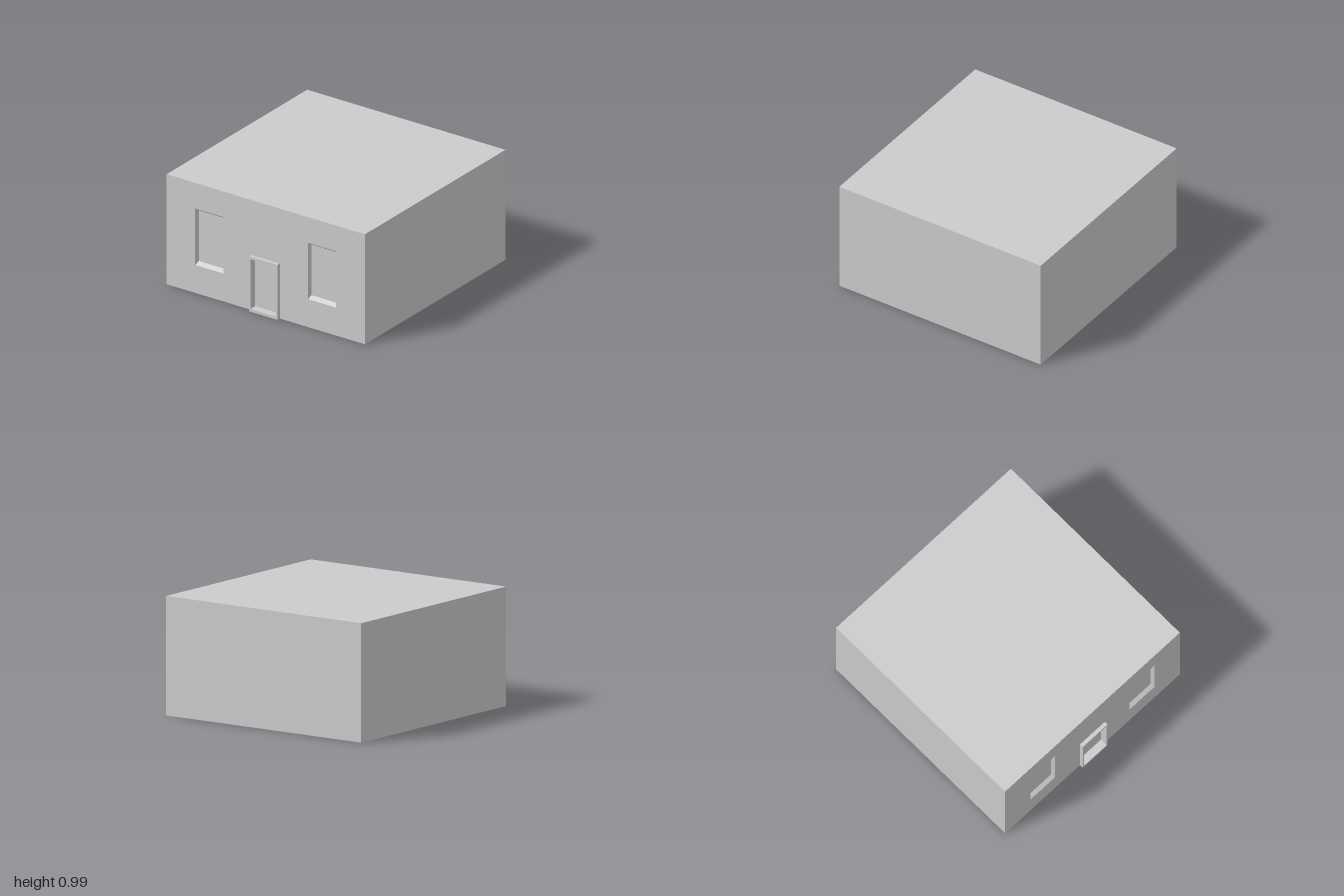
import * as THREE from 'three';

const W = 0.985, H = 0.985, BACK = -1, FRONT = 0.967, DEEP = 0.933, LIP = 1;
const material = new THREE.MeshStandardMaterial({ color: 0xcccccc, flatShading: true });

// corners of a rectangle, counter-clockwise seen from the front
const corners = (x0, x1, y0, y1) => [[x0, y0], [x1, y0], [x1, y1], [x0, y1]];
const path = (pts, Type) => new Type(pts.map(([x, y]) => new THREE.Vector2(x, y)));

function add(group, name, geometry, z = 0) {
  const mesh = new THREE.Mesh(geometry, material);
  mesh.name = name;
  mesh.position.z = z;
  group.add(mesh);
}

// four sloping faces between an outer and an inner rectangle, plus the back pane
function recess(outer, zOuter, inner, zInner) {
  const pos = [];
  const quad = (a, b, c, d) => pos.push(...a, ...b, ...c, ...a, ...c, ...d);
  const o = outer.map(p => [...p, zOuter]);
  const n = inner.map(p => [...p, zInner]);
  for (let i = 0; i < 4; i++) {
    const j = (i + 1) % 4;
    quad(o[i], o[j], n[j], n[i]);
  }
  quad(...n);
  const g = new THREE.BufferGeometry();
  g.setAttribute('position', new THREE.Float32BufferAttribute(pos, 3));
  g.computeVertexNormals();
  return g;
}

export function createModel() {
  const model = new THREE.Group();
  model.name = 'house';

  const door = corners(-0.128, 0.128, 0.025, 0.47);
  const windows = [-1, 1].map(s => ({
    name: s > 0 ? 'leftWindow' : 'rightWindow',
    outer: corners(s * 0.56 - 0.14, s * 0.56 + 0.14, 0.25, 0.755),
    inner: corners(s * 0.56 - 0.128, s * 0.56 + 0.128, 0.276, 0.73),
  }));

  // main block, kept behind the recesses
  add(model, 'body', new THREE.BoxGeometry(2 * W, H, DEEP - 0.005 - BACK)
    .translate(0, H / 2, (DEEP - 0.005 + BACK) / 2));

  // front wall with window and door openings
  const wall = path(corners(-W, W, 0, H), THREE.Shape);
  wall.holes = [...windows.map(w => w.outer), door].map(p => path(p, THREE.Path));
  add(model, 'frontWall', new THREE.ExtrudeGeometry(wall,
    { depth: FRONT - DEEP + 0.005, bevelEnabled: false }), DEEP - 0.005);

  // bevelled window recesses
  for (const w of windows) add(model, w.name, recess(w.outer, FRONT, w.inner, DEEP));

  // projecting door frame and the door set back inside it
  const frame = path(corners(-0.14, 0.14, 0, 0.492), THREE.Shape);
  frame.holes = [path(door, THREE.Path)];
  add(model, 'doorFrame', new THREE.ExtrudeGeometry(frame,
    { depth: LIP - FRONT, bevelEnabled: false }), FRONT);
  add(model, 'door', recess(door, FRONT, door, DEEP));

  return model;
}
